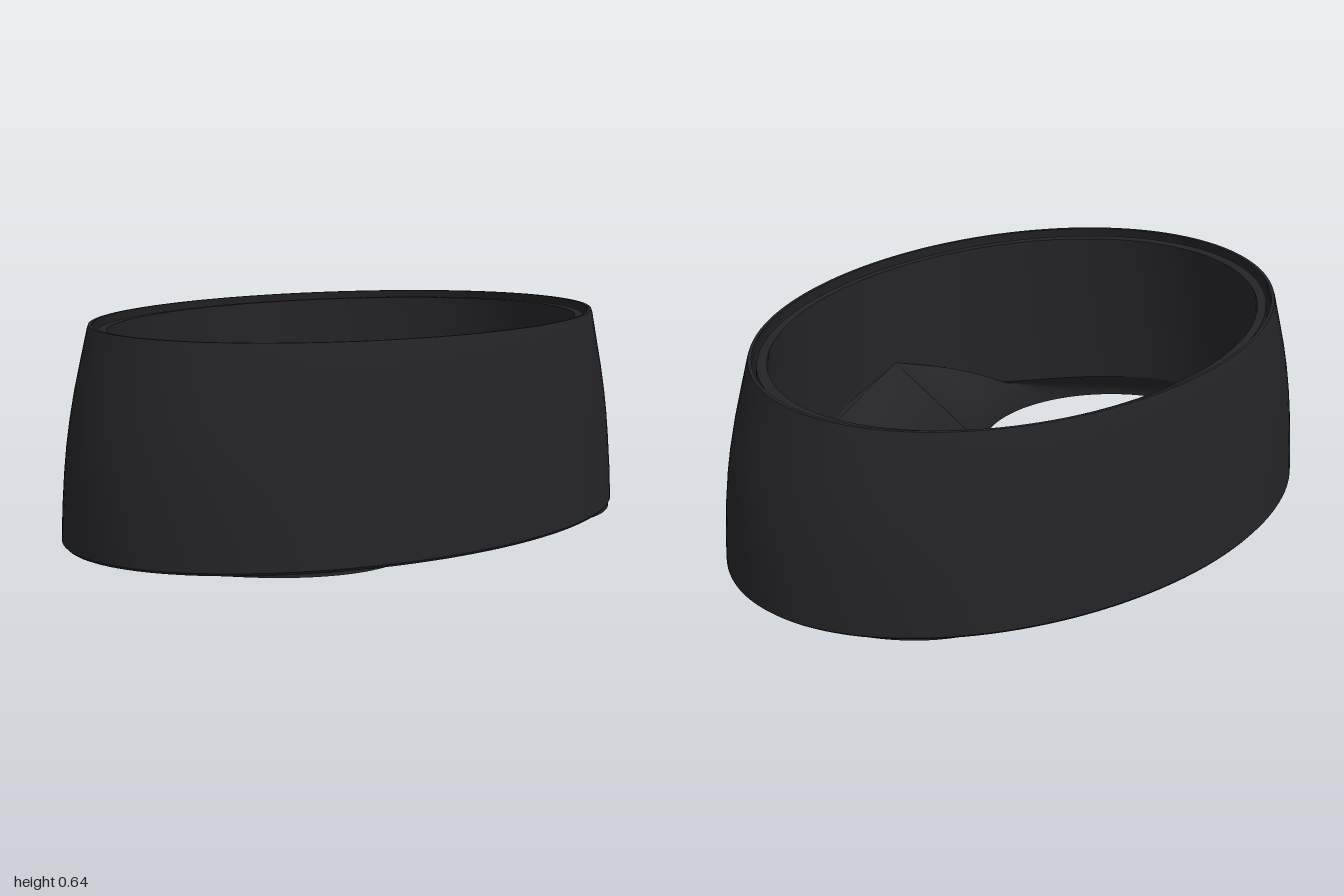
import * as THREE from 'three';
import { mergeVertices, toCreasedNormals } from 'three/addons/utils/BufferGeometryUtils.js';

const material = new THREE.MeshStandardMaterial({ color: 0x242428, side: THREE.DoubleSide });
const { sin, cos, abs, PI } = Math;

// Surface swept from point(angle, t): angle runs once round, t runs 0..1 over `rows` steps
function loft(name, point, rows, cols = 128) {
  const pos = [], index = [];
  for (let j = 0; j <= rows; j++) {
    for (let i = 0; i <= cols; i++) pos.push(...point((i % cols) / cols * 2 * PI, j / rows));
  }
  for (let j = 0; j < rows; j++) {
    for (let i = 0; i < cols; i++) {
      const a = j * (cols + 1) + i, b = a + cols + 1;
      index.push(a, b, a + 1, a + 1, b, b + 1);
    }
  }
  const geo = new THREE.BufferGeometry();
  geo.setAttribute('position', new THREE.Float32BufferAttribute(pos, 3));
  geo.setIndex(index);
  const mesh = new THREE.Mesh(toCreasedNormals(mergeVertices(geo), 0.6), material);
  mesh.name = name;
  return mesh;
}

const mix = (p, q, t) => p.map((v, k) => v + (q[k] - v) * t);

// Outer shell profile: half width, height, half depth; up the outside and down the inside
const outside = [
  [0.99, 0.02, 0.679], [0.999, 0.028, 0.685], [0.997, 0.12, 0.68], [0.99, 0.22, 0.674],
  [0.98, 0.3, 0.67], [0.967, 0.37, 0.666], [0.947, 0.45, 0.661], [0.918, 0.54, 0.656],
  [0.888, 0.63, 0.651], [0.884, 0.64, 0.648],
];
const inside = outside.slice(1).reverse().map(([a, y, b]) => [a - 0.011, y, b - 0.009]);
const profile = [...outside, ...inside, outside[0]];

function shellPoint(u, t) {
  const [a, y, b] = profile[Math.round(t * (profile.length - 1))];
  const tilt = 0.01 * cos(u) * (1 - y / 0.64);
  return [a * cos(u), y + tilt, b * sin(u)];
}

// Liner: oval mouth that divides into two round outlets. `w` is the wall offset.
const TOP = 0.62;
const OUTLET = { x: 0.48, z: 0.02, rx: 0.445, rz: 0.502 };

function ovalPoint(u, y, w) {
  const k = 1 - y / TOP;
  const a = 0.825 + 0.1 * k + w * (1 + 0.7 * (1 - k)), b = 0.603 + w;
  return [a * cos(u), y, b * sin(u)];
}

// Height where the oval wall ends and the outlets begin
const splitHeight = (u) => 0.1 + 0.19 * (1 - abs(cos(u))) ** 4;

const wallPoint = (w) => (u, t) => ovalPoint(u, TOP + (splitHeight(u) - TOP) * t, w);

function outletEdge(u, w, side) {
  return [
    side * (OUTLET.x + (OUTLET.rx + w) * cos(u)),
    0.014 - 0.014 * sin(u) ** 2,
    OUTLET.z + (OUTLET.rz + w) * sin(u),
  ];
}

// Outlet: D-shaped start (oval wall plus the saddle ridge at x = 0) down to a round end
const outletPoint = (w, side) => (u, t) => {
  let start;
  if (cos(u) >= 0) {
    start = ovalPoint(u, splitHeight(u), w);
    start[0] *= side;
  } else {
    start = [0, 0.1 + 0.19 * abs(sin(u)) - w, (0.603 + w) * sin(u)];
    if (w) start[1] += w * abs(sin(u)) ** 8;
  }
  const end = outletEdge(u, w, side);
  const s = 1 - (1 - t) ** 2;
  return [start[0] + (end[0] - start[0]) * s, start[1] + (end[1] - start[1]) * t,
    start[2] + (end[2] - start[2]) * s];
};

export function createModel() {
  const model = new THREE.Group();
  model.name = 'twinOutletOvalTip';
  const wall = 0.02;

  model.add(loft('outerShell', shellPoint, profile.length - 1));

  // Oval mouth of the liner
  const mouth = new THREE.Group();
  mouth.name = 'linerMouth';
  mouth.add(
    loft('mouthInside', wallPoint(0), 12),
    loft('mouthOutside', wallPoint(wall), 12),
    loft('mouthRim', (u, t) => mix(ovalPoint(u, TOP, 0), ovalPoint(u, TOP, wall), t), 1),
  );
  model.add(mouth);

  // The two outlets, mirrored
  for (const [side, label] of [[1, 'left'], [-1, 'right']]) {
    const outlet = new THREE.Group();
    outlet.name = label + 'Outlet';
    outlet.add(
      loft('outletInside', outletPoint(0, side), 12),
      loft('outletOutside', outletPoint(wall, side), 12),
      loft('outletRim', (u, t) => mix(outletEdge(u, 0, side), outletEdge(u, wall, side), t), 1),
    );
    model.add(outlet);
  }
  return model;
}
